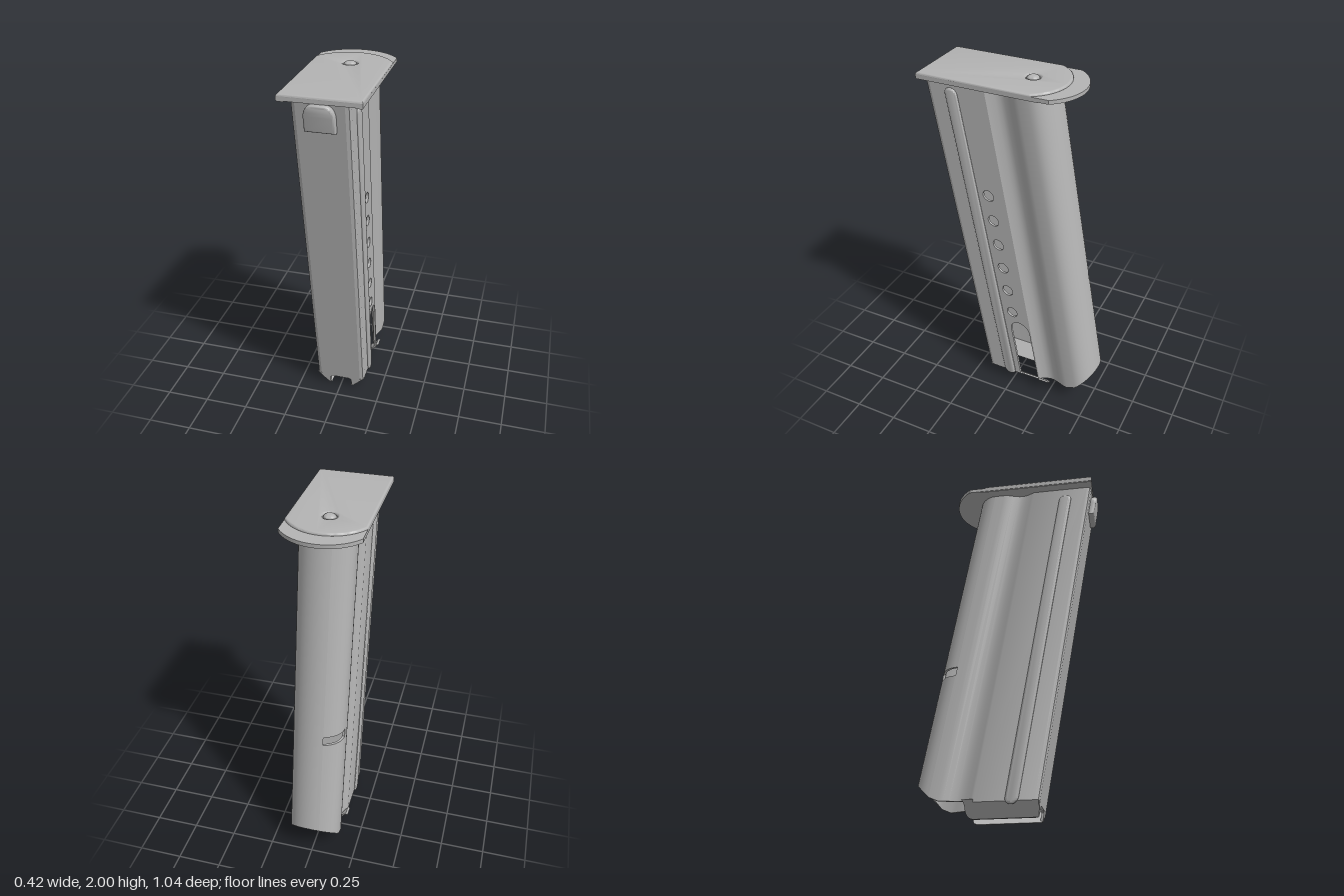
import * as THREE from 'three';
import { toCreasedNormals } from 'three/addons/utils/BufferGeometryUtils.js';

const T = 0.014;        // sheet thickness
const W = 0.147;        // half width of the body
const TOP = 1.96;       // top of the body
const BEND = 0.072;     // height where the lips start to fold inward
const LEAN = 0.18;      // backward lean of the body
const lean = new THREE.Matrix4().set(1, 0, 0, 0, 0, 1, 0, 0, 0, LEAN, 1, 0, 0, 0, 0, 1);

export function createModel() {
  const steel = new THREE.MeshStandardMaterial({ color: 0xb4b4b4 });
  steel.name = 'grey steel';
  const model = new THREE.Group();
  model.name = 'boxMagazine';

  function add(name, geometry, crease = 0.6) {
    const mesh = new THREE.Mesh(toCreasedNormals(geometry, crease), steel);
    mesh.name = name;
    model.add(mesh);
    return mesh;
  }
  const polygon = pts => new THREE.Shape(pts.map(p => new THREE.Vector2(...p)));
  const extrude = (shape, depth, bevel = {}) => new THREE.ExtrudeGeometry(shape,
    { depth, curveSegments: 16, bevelEnabled: false, ...bevel });
  // Side sheet: shape is drawn as (-z, y) and turned to face sideways
  const sideSheet = (shape, x, depth, bevel) =>
    extrude(shape, depth, bevel).rotateY(Math.PI / 2).translate(x, 0, 0);

  // ---- Plan outline, from the right-hand front corner round the back
  const half = [[0.122, 0.145], [0.14, 0.138], [W, 0.12], [W, -0.2], [0.139, -0.215],
    [0.125, -0.245], [0.119, -0.27], [0.121, -0.295], [0.132, -0.33], [0.143, -0.36], [W, -0.385]];
  const arc = [];
  for (let a = 90; a >= -90; a -= 10) {
    const t = THREE.MathUtils.degToRad(a);
    arc.push([W * Math.sin(t), -0.44 - 0.111 * Math.cos(t)]);
  }
  const plan = [...half, ...arc, ...half.map(([x, z]) => [-x, z]).reverse()];
  const normals = plan.map((p, i) => {
    const a = plan[Math.max(i - 1, 0)], b = plan[Math.min(i + 1, plan.length - 1)];
    return new THREE.Vector2(-(b[1] - a[1]), b[0] - a[0]).normalize();
  });

  // Lower edge of the body, rising toward the back
  function lowerEdge(z) {
    if (z > -0.21) return BEND;
    if (z > -0.415) return 0.085;
    return THREE.MathUtils.mapLinear(z, -0.415, -0.551, 0.085, 0.2);
  }

  // Curved sheet wall following the plan between two outline points
  function wall(name, from, to, bottom, top) {
    const rings = [], pos = [];
    for (let i = from; i <= to; i++) {
      const [x, z] = plan[i], n = normals[i], y0 = bottom(z);
      const ix = x - n.x * T, iz = z - n.y * T;
      rings.push([[x, y0, z], [x, top, z], [ix, top, iz], [ix, y0, iz]]);
    }
    const quad = (a, b, c, d) => pos.push(...a, ...b, ...c, ...a, ...c, ...d);
    for (let i = 0; i < rings.length - 1; i++) {
      for (let k = 0; k < 4; k++) {
        const n = (k + 1) % 4;
        quad(rings[i][k], rings[i + 1][k], rings[i + 1][n], rings[i][n]);
      }
    }
    quad(...rings[0]);
    quad(...[...rings[rings.length - 1]].reverse());
    const g = new THREE.BufferGeometry();
    g.setAttribute('position', new THREE.Float32BufferAttribute(pos, 3));
    add(name, g.applyMatrix4(lean));
  }

  const first = half.length, slitA = first + 11, slitB = first + 18;
  wall('frontCorner', 0, 2, lowerEdge, TOP);
  wall('backWall', 3, slitA, lowerEdge, TOP);
  wall('backWallBelowSlit', slitA, slitB, lowerEdge, 0.78);
  wall('backWallAboveSlit', slitA, slitB, () => 0.83, TOP);
  wall('plainSideWall', slitB, plan.length - 1, lowerEdge, TOP);

  // ---- Pierced side wall with a slot open to the lip and a row of round holes
  const slotU = 0.13, slotR = 0.06;
  const pierced = new THREE.Shape();
  pierced.moveTo(-0.12, BEND);
  pierced.lineTo(slotU - slotR, BEND);
  pierced.lineTo(slotU - slotR, 0.42);
  pierced.absarc(slotU, 0.42, slotR, Math.PI, 0, true);
  pierced.lineTo(slotU + slotR, BEND);
  pierced.lineTo(0.2, BEND);
  pierced.lineTo(0.2, TOP);
  pierced.lineTo(-0.12, TOP);
  for (let i = 0; i < 6; i++) {
    const hole = new THREE.Path();
    hole.absarc(0.099, 0.55 + i * 0.154, 0.032, 0, Math.PI * 2, true);
    pierced.holes.push(hole);
  }
  add('piercedSideWall', sideSheet(pierced, W - T, T).applyMatrix4(lean));

  // ---- Front wall with a notch at the bottom
  const front = polygon([[-0.122, TOP], [-0.122, 0.05], [-0.078, 0.003], [-0.068, 0.003],
    [-0.065, 0.05], [-0.055, 0.06], [0.055, 0.06], [0.065, 0.05], [0.068, 0.003],
    [0.078, 0.003], [0.122, 0.05], [0.122, TOP]]);
  add('frontWall', extrude(front, T).translate(0, 0, 0.145 - T).applyMatrix4(lean));

  for (const side of [1, -1]) {
    // Lip folded inward below the side wall, notched under the slot
    const lip = new THREE.Shape();
    lip.moveTo(-0.14, 0);
    lip.lineTo(0.2, 0);
    lip.quadraticCurveTo(0.238, 0.005, 0.242, 0.045);
    lip.quadraticCurveTo(0.245, 0.075, 0.262, 0.085);
    lip.lineTo(0.2, 0.085);
    lip.lineTo(0.2, BEND);
    if (side > 0) {
      for (const [u, y] of [[slotU + slotR, BEND], [slotU + slotR, 0.04],
        [slotU - slotR, 0.04], [slotU - slotR, BEND]]) lip.lineTo(u, y);
    }
    lip.lineTo(-0.14, BEND);
    const fold = side * 1.03;
    const lipGeometry = sideSheet(lip, side > 0 ? W - T : -W, T)
      .translate(-fold * BEND, 0, 0)
      .applyMatrix4(new THREE.Matrix4().set(1, fold, 0, 0, 0, 1, 0, 0, 0, 0, 1, 0, 0, 0, 0, 1))
      .applyMatrix4(lean);
    add(side > 0 ? 'leftLip' : 'rightLip', lipGeometry);

    // Long raised rib
    const rib = new THREE.Shape();
    rib.absarc(0, 1.876, 0.022, 0, Math.PI);
    rib.absarc(0, 0.09, 0.022, Math.PI, Math.PI * 2);
    add(side > 0 ? 'leftRib' : 'rightRib', sideSheet(rib, side * W - 0.001, 0.002, {
      bevelEnabled: true, bevelThickness: 0.01, bevelSize: 0.014, bevelSegments: 4,
    }).applyMatrix4(lean), 0.9);

    // Rolled edge under the floor plate
    const rail = add(side > 0 ? 'leftRail' : 'rightRail', new THREE.BoxGeometry(0.034, 0.008, 0.68));
    rail.position.set(side * 0.19, 1.957, 0.163);
  }

  // ---- Catch at the top of the front wall
  const tab = new THREE.Shape();
  tab.moveTo(-0.066, 1.826);
  tab.lineTo(0.066, 1.826);
  tab.lineTo(0.066, 1.895);
  tab.quadraticCurveTo(0.062, 1.94, 0.03, 1.945);
  tab.lineTo(-0.03, 1.945);
  tab.quadraticCurveTo(-0.062, 1.94, -0.066, 1.895);
  add('frontCatch', extrude(tab, 0.018, {
    bevelEnabled: true, bevelThickness: 0.013, bevelSize: 0.012, bevelSegments: 4,
  }).translate(0, 0, 0.147).applyMatrix4(lean), 0.9);

  // ---- Floor plate: a base with a rounded back and a raised panel on top
  function plateShape(centre, radius, angle) {
    const s = new THREE.Shape();
    s.moveTo(-0.21, -0.505);
    s.lineTo(0.21, -0.505);
    s.absarc(0, centre, radius, angle, Math.PI - angle);
    return s;
  }
  add('floorPlate', extrude(plateShape(0.0895, 0.2555, 0.606), 0.021)
    .rotateX(-Math.PI / 2).translate(0, 1.957, 0));
  const panel = plateShape(0.011, 0.244, 0.533);
  const opening = new THREE.Path();
  opening.absarc(0, 0.057, 0.039, 0, Math.PI * 2, true);
  panel.holes.push(opening);
  add('raisedPanel', extrude(panel, 0.002, {
    bevelEnabled: true, bevelThickness: 0.01, bevelSize: 0.012, bevelOffset: -0.012, bevelSegments: 3,
  }).rotateX(-Math.PI / 2).translate(0, 1.978, 0), 0.7);

  // Release button in the opening
  const button = add('releaseButton', new THREE.SphereGeometry(0.035, 20, 12), 0.9);
  button.scale.y = 0.6;
  button.position.set(0, 1.979, -0.057);

  return model;
}
